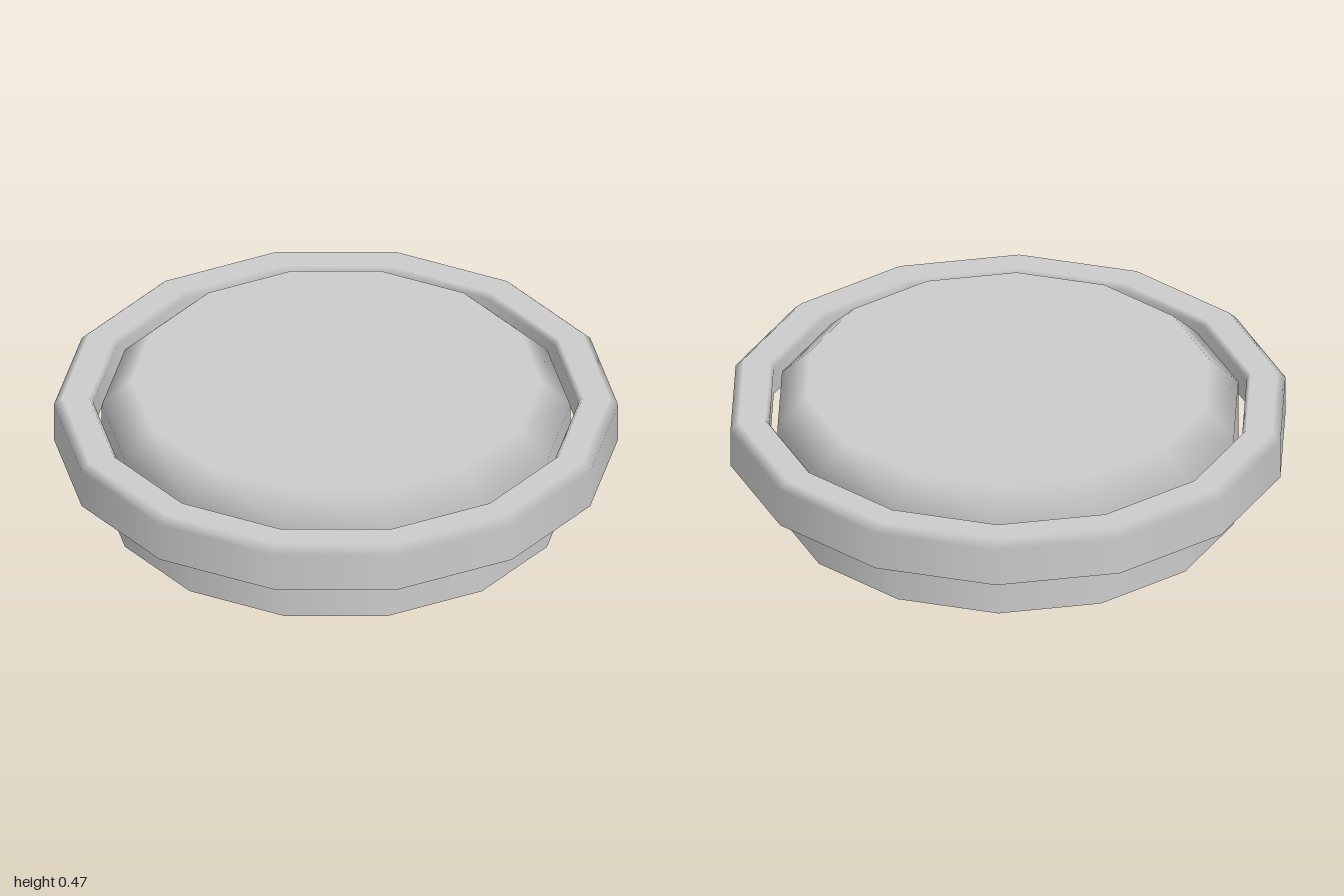
import * as THREE from 'three';

const SIDES = 14;

// Spins a profile of [radius, y, outward normal, upward normal] into an open shell.
function shell(name, profile) {
  const points = profile.map(([r, y]) => new THREE.Vector2(r, y));
  const geometry = new THREE.LatheGeometry(points, SIDES, Math.PI / 2);
  const normal = geometry.attributes.normal;
  // Bevels blend softly between the straight walls and the flat tops.
  for (let i = 0; i < normal.count; i++) {
    const angle = Math.PI / 2 + Math.floor(i / profile.length) * 2 * Math.PI / SIDES;
    const [, , out, up] = profile[i % profile.length];
    normal.setXYZ(i, out * Math.sin(angle), up, out * Math.cos(angle));
  }
  const material = new THREE.MeshStandardMaterial({ color: 0xcccccc, side: THREE.DoubleSide });
  const mesh = new THREE.Mesh(geometry, material);
  mesh.name = name;
  return mesh;
}

export function createModel() {
  const group = new THREE.Group();
  group.name = 'roundButton';

  // Hollow cap, open underneath
  group.add(shell('cap', [
    [0.83, 0, 1, 0],
    [0.83, 0.365, 1, 0],
    [0.725, 0.47, 0, 1],
    [0, 0.47, 0, 1],
  ]));

  // Loose surrounding rim: outer wall, bevelled top and shorter inner wall
  group.add(shell('rim', [
    [1, 0.22, 1, 0],
    [1, 0.365, 1, 0],
    [0.97, 0.395, 0, 1],
    [0.875, 0.395, 0, 1],
    [0.86, 0.375, -1, 0],
    [0.86, 0.27, -1, 0],
  ]));

  return group;
}
